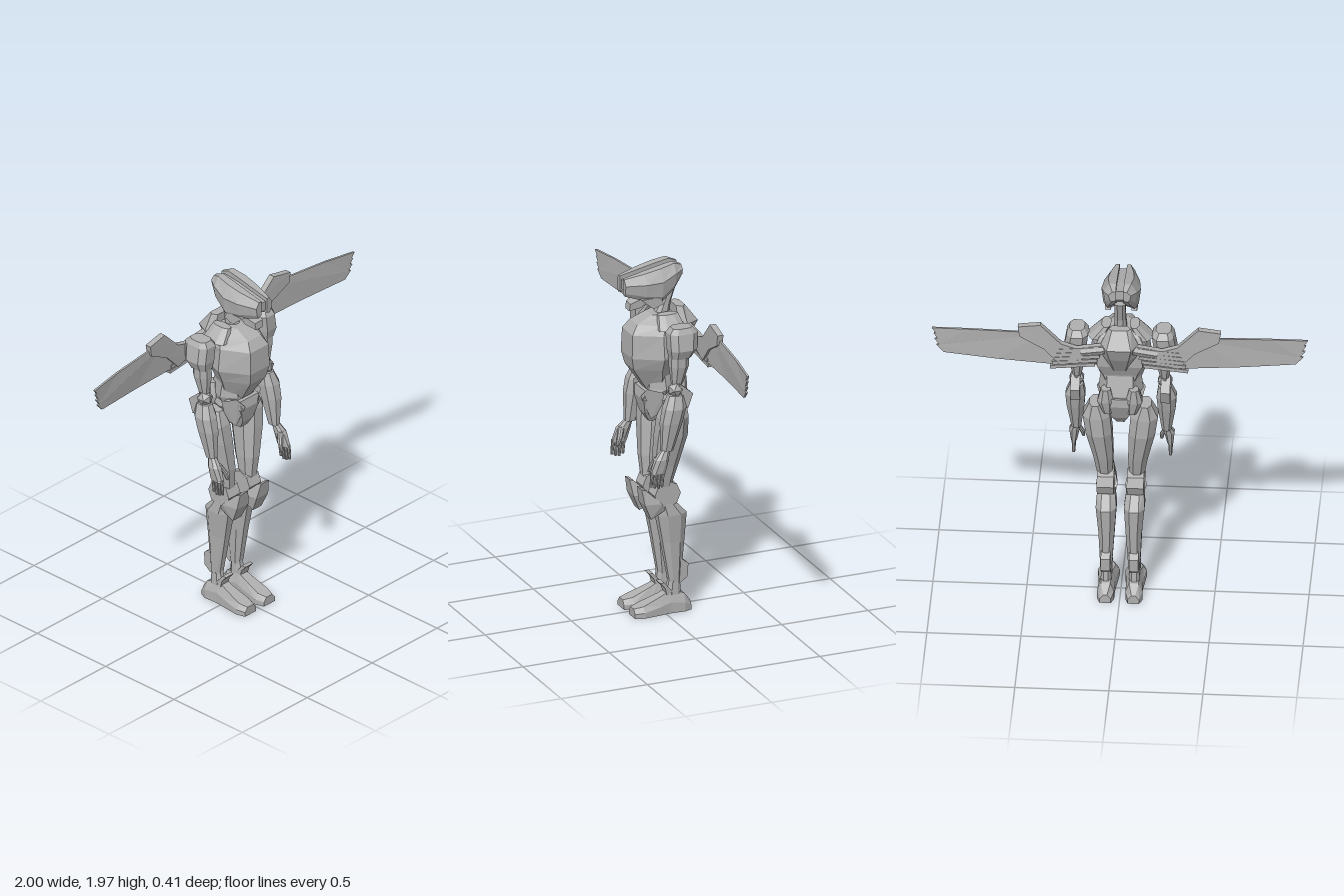
import * as THREE from 'three';

const steel = new THREE.MeshStandardMaterial({ color: 0xb0b0b0 });
steel.name = 'plainGrey';
steel.flatShading = true;

// Flat-shaded mesh whose triangles always face outwards
function solid(name, geometry, mirror = false) {
  const g = geometry.index ? geometry.toNonIndexed() : geometry.clone();
  g.deleteAttribute('uv');
  const p = g.attributes.position;
  if (mirror) for (let i = 0; i < p.count; i++) p.setX(i, -p.getX(i));
  const a = new THREE.Vector3(), b = new THREE.Vector3(), c = new THREE.Vector3();
  let volume = 0;
  for (let i = 0; i < p.count; i += 3) {
    a.fromBufferAttribute(p, i); b.fromBufferAttribute(p, i + 1); c.fromBufferAttribute(p, i + 2);
    volume += a.dot(b.cross(c));
  }
  if (volume < 0) for (let i = 0; i < p.count; i += 3) {
    b.fromBufferAttribute(p, i + 1); c.fromBufferAttribute(p, i + 2);
    p.setXYZ(i + 1, c.x, c.y, c.z); p.setXYZ(i + 2, b.x, b.y, b.z);
  }
  g.computeVertexNormals();
  const mesh = new THREE.Mesh(g, steel);
  mesh.name = name;
  return mesh;
}

// Skin over a row of equal-length loops of [x, y, z] points, capped at both ends
function skin(loops) {
  const n = loops[0].length, index = [];
  for (let r = 0; r < loops.length - 1; r++) for (let i = 0; i < n; i++) {
    const a = r * n + i, b = r * n + (i + 1) % n;
    index.push(a, b, a + n, b, b + n, a + n);
  }
  const last = (loops.length - 1) * n;
  for (let i = 1; i < n - 1; i++) index.push(0, i + 1, i, last, last + i, last + i + 1);
  const g = new THREE.BufferGeometry();
  g.setAttribute('position', new THREE.Float32BufferAttribute(loops.flat(2), 3));
  g.setIndex(index);
  return g;
}

// Upright limb from rows [y, x0, x1, z0, z1] with chamfered corners
const limb = (rows, k = 0.27) => skin(rows.map(([y, x0, x1, z0, z1]) => {
  const u = (x1 - x0) * k, v = (z1 - z0) * k;
  return [[x0 + u, y, z0], [x1 - u, y, z0], [x1, y, z0 + v], [x1, y, z1 - v],
    [x1 - u, y, z1], [x0 + u, y, z1], [x0, y, z1 - v], [x0, y, z0 + v]];
}));

// Symmetric trunk from rows [y, frontWidth, frontZ, sideWidth, sideZ, backWidth, backZ]
const trunk = rows => skin(rows.map(([y, f, zf, s, zs, b, zb]) =>
  [[f, y, zf], [s, y, zs], [b, y, zb], [-b, y, zb], [-s, y, zs], [-f, y, zf]]));

// Plate with a side outline of [z, y] points, between x0 and x1
const sidePlate = (pts, x0, x1) => {
  const shape = new THREE.Shape(pts.map(([z, y]) => new THREE.Vector2(-z, y)));
  return new THREE.ExtrudeGeometry(shape, { depth: x1 - x0, bevelEnabled: false })
    .rotateY(Math.PI / 2).translate(x0, 0, 0);
};

// Wing plate with an outline of [x, y] points, swept forward towards the tip
const wingPlate = (pts, depth, push = 0) => {
  const shape = new THREE.Shape(pts.map(([x, y]) => new THREE.Vector2(x, y)));
  const g = new THREE.ExtrudeGeometry(shape, { depth, bevelEnabled: false });
  const p = g.attributes.position;
  for (let i = 0; i < p.count; i++) {
    const x = p.getX(i);
    p.setZ(i, p.getZ(i) - depth / 2 - 0.15 + 0.066 * x * x + push);
  }
  return g;
};

export function createModel() {
  const model = new THREE.Group();
  model.name = 'wingedRobot';
  const one = (name, g) => model.add(solid(name, g));
  const pair = (name, g) => model.add(solid(name + 'Left', g), solid(name + 'Right', g, true));

  // Trunk
  one('chest', trunk([
    [1.69, 0.04, 0.05, 0.07, -0.01, 0.05, -0.07],
    [1.65, 0.05, 0.14, 0.13, 0.01, 0.11, -0.10],
    [1.60, 0.07, 0.175, 0.15, 0.03, 0.13, -0.12],
    [1.47, 0.075, 0.18, 0.165, 0.03, 0.12, -0.11],
    [1.40, 0.06, 0.165, 0.135, 0.03, 0.09, -0.08],
    [1.27, 0.035, 0.08, 0.08, 0.01, 0.05, -0.05]]));
  one('waist', trunk([
    [1.42, 0.06, 0.06, 0.10, 0.01, 0.07, -0.07],
    [1.28, 0.06, 0.075, 0.12, 0.00, 0.07, -0.11],
    [1.22, 0.06, 0.09, 0.09, 0.00, 0.06, -0.10]]));
  one('pelvis', trunk([
    [1.27, 0.07, 0.10, 0.10, -0.01, 0.08, -0.12],
    [1.22, 0.07, 0.11, 0.115, -0.01, 0.08, -0.12],
    [1.13, 0.04, 0.09, 0.055, -0.01, 0.04, -0.08],
    [1.08, 0.025, 0.06, 0.03, 0.00, 0.02, -0.04]]));
  pair('hipGuard', skin([[[0.05, 1.24, 0.12], [0.09, 1.29, 0.10], [0.07, 1.11, 0.07]],
    [[0.10, 1.22, 0.04], [0.13, 1.27, 0.02], [0.10, 1.15, 0.02]]]));
  pair('rearHipGuard', limb([[1.33, 0.05, 0.10, -0.13, -0.07], [1.25, 0.03, 0.12, -0.13, -0.05],
    [1.17, 0.04, 0.09, -0.11, -0.05]]));
  pair('collar', limb([[1.70, 0.05, 0.10, -0.08, 0.03], [1.63, 0.08, 0.17, -0.10, 0.05]]));
  one('backPack', trunk([
    [1.72, 0.04, -0.09, 0.06, -0.12, 0.04, -0.14],
    [1.63, 0.07, -0.09, 0.10, -0.13, 0.065, -0.205],
    [1.55, 0.07, -0.08, 0.09, -0.12, 0.05, -0.17],
    [1.44, 0.03, -0.05, 0.05, -0.08, 0.03, -0.10]]));

  // Neck and head
  one('neck', limb([[1.66, -0.035, 0.035, -0.06, 0.03], [1.74, -0.03, 0.03, -0.07, -0.01],
    [1.86, -0.03, 0.03, -0.11, -0.06]]));
  pair('helmetSide', skin([
    [0.21, 0.06, 1.82, 1.915], [0.10, 0.095, 1.785, 1.938], [0.01, 0.105, 1.765, 1.957],
    [-0.07, 0.09, 1.83, 1.972], [-0.12, 0.06, 1.89, 1.952]].map(([z, w, lo, hi]) => {
    const h = hi - lo;
    return [[0.02, hi, z], [w * 0.65, hi, z], [w, lo + h * 0.65, z],
      [w * 0.9, lo + h * 0.2, z], [w * 0.7, lo, z], [0.02, lo + h * 0.1, z]];
  })));
  one('crown', sidePlate([[0.20, 1.84], [0.20, 1.895], [0, 1.935], [-0.10, 1.945], [-0.10, 1.89],
    [0, 1.79]], -0.022, 0.022));
  pair('cheekGuard', sidePlate([[0.13, 1.80], [0.02, 1.80], [0.0, 1.76], [0.06, 1.74]], 0.055, 0.085));
  one('jaw', skin([
    [[-0.025, 1.725, 0.175], [0.025, 1.725, 0.175], [0.03, 1.765, 0.17], [-0.03, 1.765, 0.17]],
    [[-0.04, 1.74, 0.11], [0.04, 1.74, 0.11], [0.05, 1.80, 0.09], [-0.05, 1.80, 0.09]],
    [[-0.04, 1.78, 0.04], [0.04, 1.78, 0.04], [0.04, 1.81, 0.03], [-0.04, 1.81, 0.03]]]));

  // Arms
  pair('shoulder', limb([[1.68, 0.19, 0.27, -0.09, 0.02], [1.65, 0.17, 0.285, -0.12, 0.04],
    [1.56, 0.18, 0.30, -0.11, 0.04], [1.51, 0.19, 0.28, -0.08, 0.03]], 0.22));
  pair('upperArm', limb([[1.55, 0.195, 0.275, -0.07, 0.03], [1.46, 0.19, 0.275, -0.07, 0.03],
    [1.36, 0.21, 0.255, -0.04, 0.02]]));
  pair('elbow', new THREE.IcosahedronGeometry(0.045, 0).translate(0.235, 1.33, 0));
  pair('forearm', limb([[1.30, 0.20, 0.27, -0.05, 0.04], [1.23, 0.19, 0.295, -0.05, 0.07],
    [1.15, 0.195, 0.29, -0.03, 0.085], [0.99, 0.215, 0.265, 0.02, 0.085]]));
  pair('elbowGuard', sidePlate([[-0.01, 1.37], [-0.09, 1.30], [-0.06, 1.22], [-0.03, 1.27]], 0.215, 0.265));
  pair('hand', limb([[1.00, 0.225, 0.26, 0.04, 0.08], [0.95, 0.225, 0.28, 0.05, 0.125],
    [0.87, 0.24, 0.272, 0.07, 0.155]]));
  for (let i = 0; i < 4; i++) {
    const z = 0.082 + i * 0.021, end = 0.785 + Math.abs(i - 1.3) * 0.01;
    pair('finger' + (i + 1), limb([[0.885, 0.245, 0.268, z - 0.009, z + 0.009],
      [end, 0.25, 0.265, z - 0.001, z + 0.013]]));
  }
  pair('thumb', limb([[0.96, 0.225, 0.25, 0.09, 0.12], [0.91, 0.20, 0.225, 0.11, 0.14],
    [0.87, 0.20, 0.215, 0.13, 0.15]]));

  // Legs
  pair('thigh', limb([[1.21, 0.10, 0.165, -0.10, 0.02], [1.13, 0.055, 0.20, -0.11, 0.05],
    [1.02, 0.045, 0.185, -0.11, 0.06], [0.85, 0.04, 0.145, -0.07, 0.065],
    [0.73, 0.045, 0.125, -0.035, 0.055]]));
  pair('knee', new THREE.CylinderGeometry(0.075, 0.075, 0.09, 8).rotateZ(Math.PI / 2)
    .translate(0.08, 0.685, -0.005));
  pair('kneeGuard', skin([
    [[0.05, 0.73, 0.14], [0.11, 0.73, 0.14], [0.11, 0.72, 0.115], [0.05, 0.72, 0.115]],
    [[0.03, 0.64, 0.125], [0.12, 0.64, 0.125], [0.135, 0.64, 0.03], [0.02, 0.64, 0.03]],
    [[0.045, 0.55, 0.085], [0.11, 0.55, 0.085], [0.12, 0.60, 0.0], [0.03, 0.60, 0.0]]]));
  pair('shin', limb([[0.63, 0.03, 0.125, -0.06, 0.04], [0.56, 0.02, 0.13, -0.125, 0.04],
    [0.40, 0.03, 0.115, -0.115, 0.01], [0.17, 0.045, 0.105, -0.095, -0.03]]));
  pair('heelGuard', sidePlate([[-0.09, 0.30], [-0.135, 0.265], [-0.13, 0.19], [-0.09, 0.16], [-0.06, 0.18]],
    0.05, 0.10));
  pair('ankle', limb([[0.19, 0.05, 0.10, -0.09, -0.03], [0.07, 0.045, 0.105, -0.10, -0.01]]));
  pair('ankleFin', sidePlate([[0.03, 0.175], [0.005, 0.175], [-0.04, 0.12], [-0.01, 0.10], [0.0, 0.14]],
    0.045, 0.105));

  // Feet, as cross-sections from toe to heel
  pair('foot', skin([[0.18, 0.03, 0.115, 0.05], [0.13, 0.015, 0.13, 0.06], [0.02, 0.025, 0.12, 0.10],
    [-0.03, 0.03, 0.115, 0.125], [-0.11, 0.03, 0.12, 0.10], [-0.15, 0.045, 0.105, 0.05]]
    .map(([z, x0, x1, h]) => [[x0, 0, z], [x1, 0, z], [x1, h * 0.5, z],
      [x1 - 0.02, h, z], [x0 + 0.02, h, z], [x0, h * 0.5, z]])));

  // Wings
  pair('wingFeathers', wingPlate([[0.31, 1.50], [0.42, 1.68], [0.53, 1.69], [0.80, 1.68], [1.0, 1.665],
    [0.98, 1.637], [0.99, 1.632], [0.97, 1.602], [0.985, 1.597], [0.96, 1.567], [0.975, 1.562],
    [0.935, 1.52], [0.65, 1.51]], 0.012));
  pair('wingArm', wingPlate([[0.20, 1.54], [0.31, 1.50], [0.40, 1.595], [0.53, 1.665], [0.54, 1.725],
    [0.42, 1.745], [0.31, 1.635], [0.20, 1.60]], 0.034, 0.004));
  for (let i = 0; i < 5; i++) {
    pair('featherRoot' + (i + 1), new THREE.BoxGeometry(0.24, 0.019, 0.03)
      .rotateZ(-0.1).translate(0.20 + 0.012 * i, 1.605 - i * 0.026, -0.145));
  }
  pair('wingJoint', new THREE.CylinderGeometry(0.03, 0.03, 0.17, 6).rotateZ(Math.PI / 2 - 0.15)
    .translate(0.12, 1.60, -0.14));
  return model;
}
